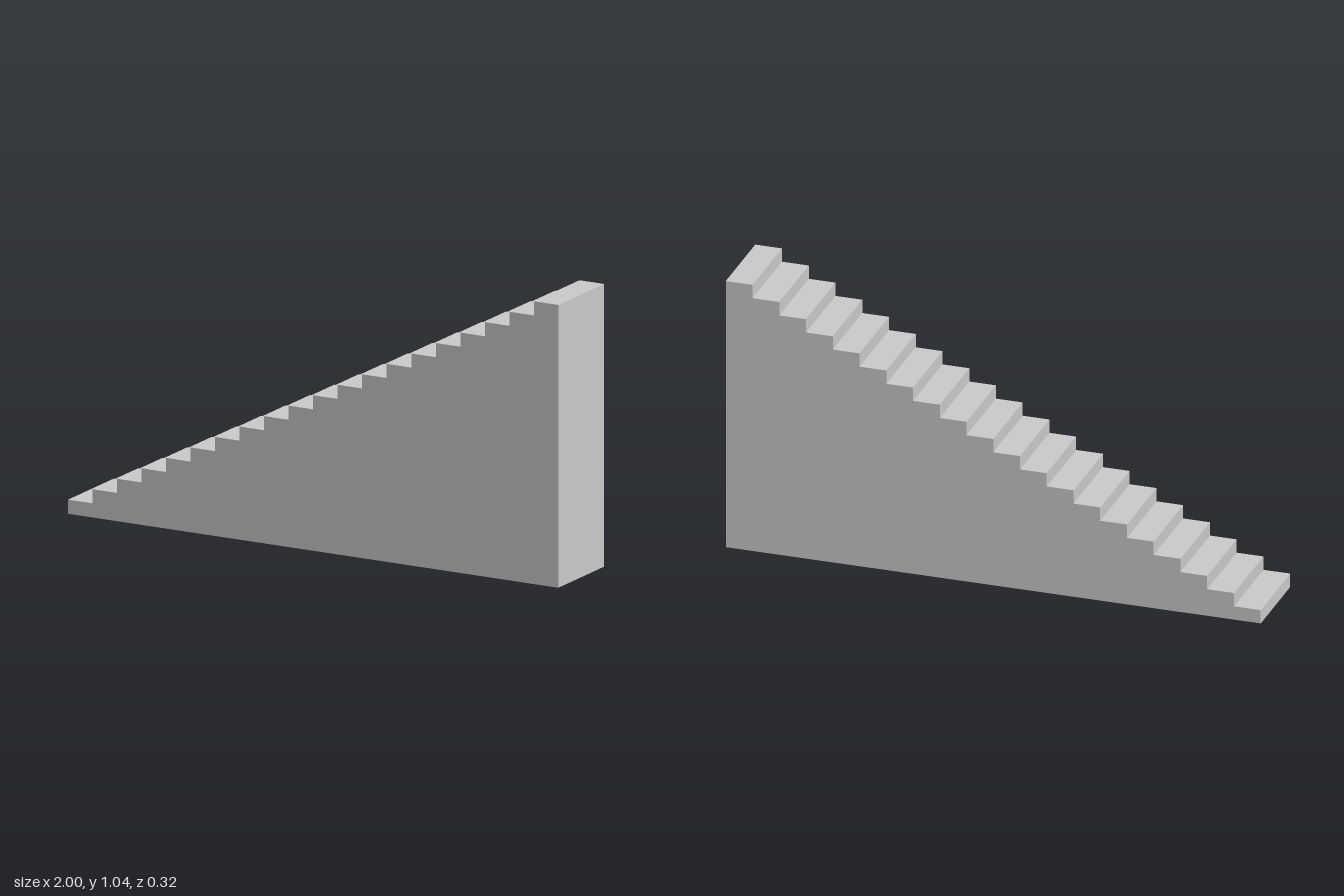
import * as THREE from 'three';

const STEPS = 20;
const LENGTH = 2;
const HEIGHT = 1.038;
const WIDTH = 0.325;

export function createModel() {
  const group = new THREE.Group();
  group.name = 'staircase';

  // Side profile: flat base, tall end wall at +x, steps climbing from -x to +x
  const tread = LENGTH / STEPS;
  const rise = HEIGHT / STEPS;
  const profile = new THREE.Shape();
  profile.moveTo(LENGTH / 2, 0);
  for (let i = STEPS; i > 0; i--) {
    profile.lineTo(-LENGTH / 2 + i * tread, i * rise);
    profile.lineTo(-LENGTH / 2 + (i - 1) * tread, i * rise);
  }
  profile.lineTo(-LENGTH / 2, 0);
  profile.closePath();

  // Solid flight of steps
  const geometry = new THREE.ExtrudeGeometry(profile, { depth: WIDTH, bevelEnabled: false });
  geometry.translate(0, 0, -WIDTH / 2);
  const material = new THREE.MeshStandardMaterial({ color: 0xcccccc, flatShading: true });
  const flight = new THREE.Mesh(geometry, material);
  flight.name = 'stepFlight';
  group.add(flight);

  return group;
}
